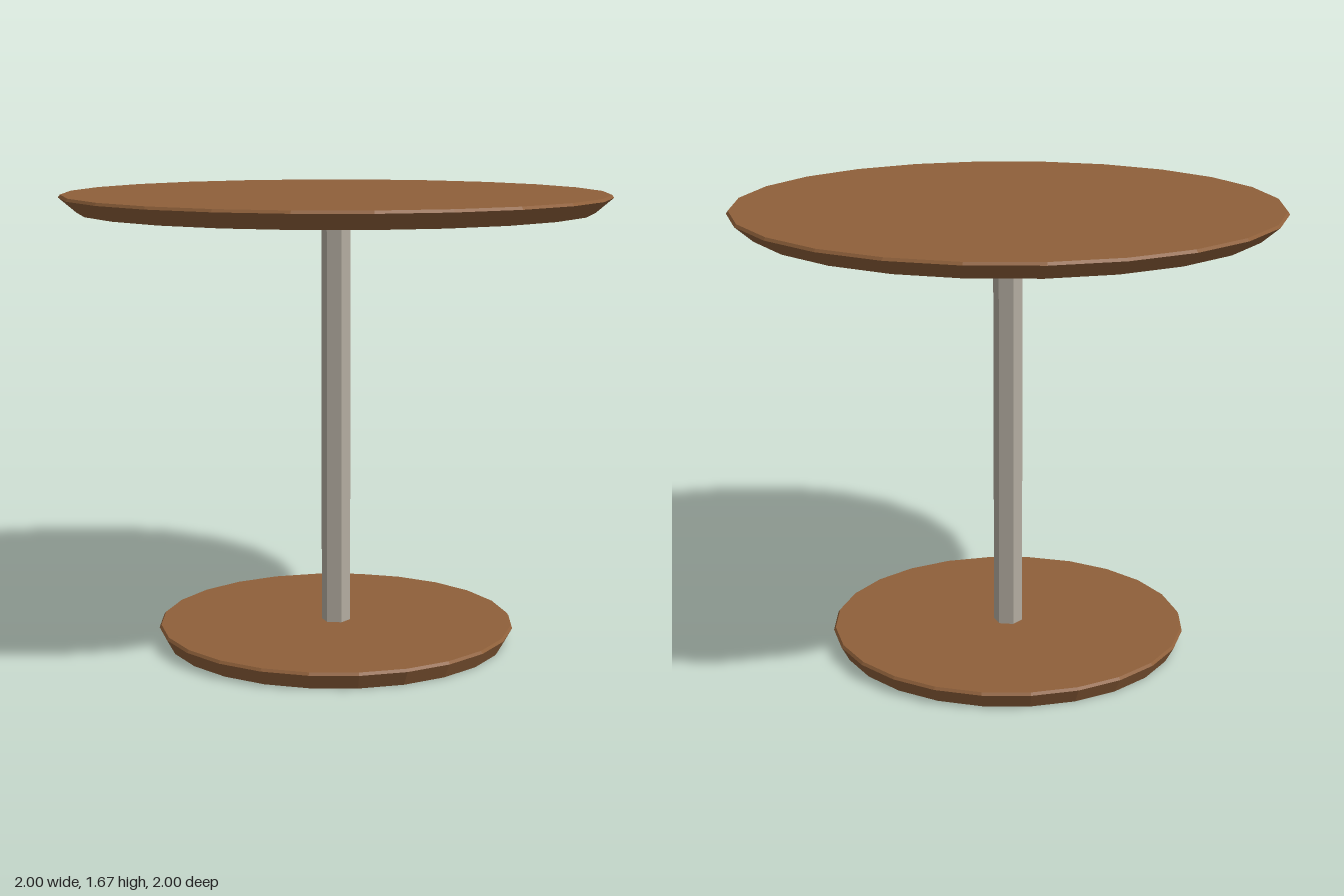
import * as THREE from 'three';

const wood = new THREE.MeshStandardMaterial({ color: 0x8f603a, flatShading: true });
const metal = new THREE.MeshStandardMaterial({ color: 0xb3aca0, flatShading: true });

// 24-sided disc, tapered underneath, with a fine chamfer on the top edge
function disc(name, y, bottomRadius, radius) {
  const profile = [
    [0, 0], [bottomRadius, 0], [radius, 0.055], [radius - 0.007, 0.065], [0, 0.065],
  ].map(([r, h]) => new THREE.Vector2(r, h));
  const mesh = new THREE.Mesh(new THREE.LatheGeometry(profile, 24), wood);
  mesh.name = name;
  mesh.position.y = y;
  return mesh;
}

export function createModel() {
  const table = new THREE.Group();
  table.name = 'roundTable';

  table.add(disc('base', 0, 0.635, 0.665));
  table.add(disc('tableTop', 1.603, 0.935, 1));

  // Hexagonal post between base and top, corners facing front and back
  const post = new THREE.Mesh(new THREE.CylinderGeometry(0.054, 0.054, 1.538, 6, 1, true), metal);
  post.name = 'post';
  post.position.y = 0.065 + 1.538 / 2;
  table.add(post);

  return table;
}
